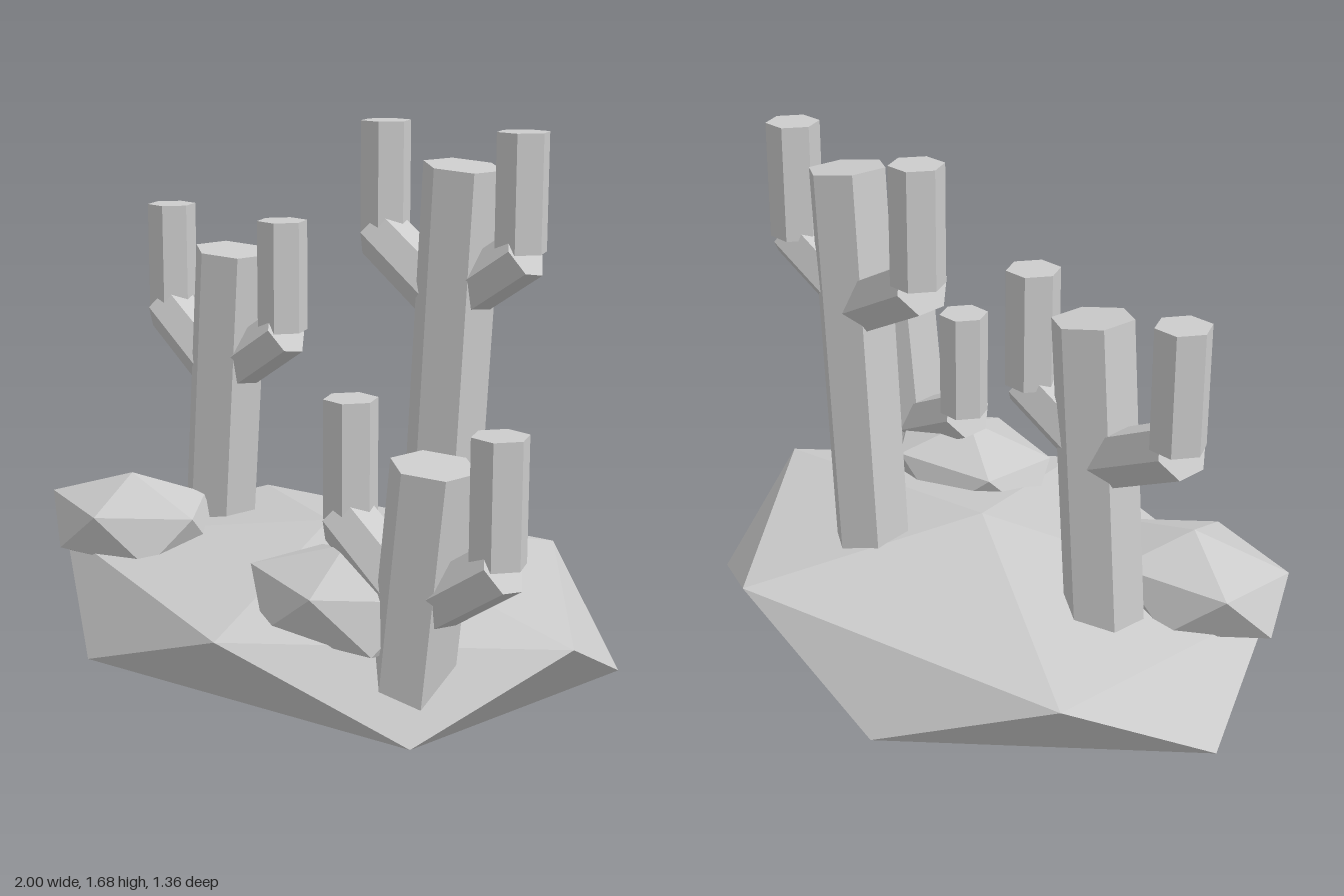
import * as THREE from 'three';

const stone = new THREE.MeshStandardMaterial({ color: 0xcccccc, flatShading: true });
stone.name = 'pale grey';

function addMesh(parent, name, geometry) {
  const mesh = new THREE.Mesh(geometry, stone);
  mesh.name = name;
  parent.add(mesh);
  return mesh;
}

// Icosahedron standing on one of its points, scaled to the given radii
function boulder(rx, ry, rz) {
  const points = [0, 1, 0, 0, -1, 0];
  const h = Math.sqrt(0.2), r = 2 * h;
  for (let i = 0; i < 5; i++) {
    const a = (i * 2 * Math.PI) / 5, b = a + Math.PI / 5;
    points.push(r * Math.cos(a), h, r * Math.sin(a));
    points.push(r * Math.cos(b), -h, r * Math.sin(b));
  }
  const faces = [];
  for (let i = 0; i < 5; i++) {
    const j = (i + 1) % 5;
    const u = 2 + 2 * i, u2 = 2 + 2 * j, l = u + 1, l2 = u2 + 1;
    faces.push(0, u2, u, 1, l, l2, u, u2, l, u2, l2, l);
  }
  return new THREE.PolyhedronGeometry(points, faces, 1, 0).scale(rx / r, ry, rz / r);
}

// Six-sided bar between two points
function bar(parent, name, from, to, radius) {
  const a = new THREE.Vector3(...from), b = new THREE.Vector3(...to);
  const dir = b.clone().sub(a);
  const mesh = addMesh(parent, name, new THREE.CylinderGeometry(radius, radius, dir.length(), 6));
  mesh.position.copy(a).add(b).multiplyScalar(0.5);
  mesh.quaternion.setFromUnitVectors(new THREE.Vector3(0, 1, 0), dir.normalize());
}

// Leaning trunk with slanted ends; its top centre is the origin
function trunk(length) {
  const geometry = new THREE.CylinderGeometry(0.118, 0.118, length, 6);
  geometry.translate(0, -length / 2, 0);
  const p = geometry.attributes.position;
  for (let i = 0; i < p.count; i++) {
    const x = p.getX(i), y = p.getY(i);
    p.setXY(i, x + (0.085 * y) / length, y - 0.11 * x);
  }
  geometry.computeVertexNormals();
  return geometry;
}

function cactus(name, x, y, z, bottom) {
  const group = new THREE.Group();
  group.name = name;
  group.position.set(x, y, z);
  addMesh(group, 'trunk', trunk(y - bottom));

  // Slanted arms
  bar(group, 'rightArm', [-0.03, -0.418, 0], [-0.387, -0.24, -0.045], 0.084);
  bar(group, 'leftArm', [-0.01, -0.385, 0], [0.208, -0.235, -0.045], 0.08);

  // Upright arm tips
  for (const [tipName, tipX] of [['rightArmTip', -0.378], ['leftArmTip', 0.183]]) {
    const tip = new THREE.CylinderGeometry(0.078, 0.078, 0.34, 6).rotateY(Math.PI / 6);
    addMesh(group, tipName, tip).position.set(tipX, -0.065, -0.052);
  }
  return group;
}

export function createModel() {
  const model = new THREE.Group();
  model.name = 'cactusIsland';

  // Ground slab
  addMesh(model, 'ground', boulder(0.985, 0.25, 0.717)).position.set(-0.015, 0.25, 0);

  // Rocks
  for (const [name, x] of [['rightRock', -0.615], ['leftRock', 0.39]]) {
    addMesh(model, name, boulder(0.31, 0.156, 0.226)).position.set(x, 0.424, 0.297);
  }

  // Cacti
  model.add(
    cactus('rightCactus', -0.47, 1.275, 0, 0.3),
    cactus('backCactus', 0.285, 1.577, -0.25, 0.27),
    cactus('frontCactus', 0.735, 0.877, 0.3, 0.2)
  );
  return model;
}
